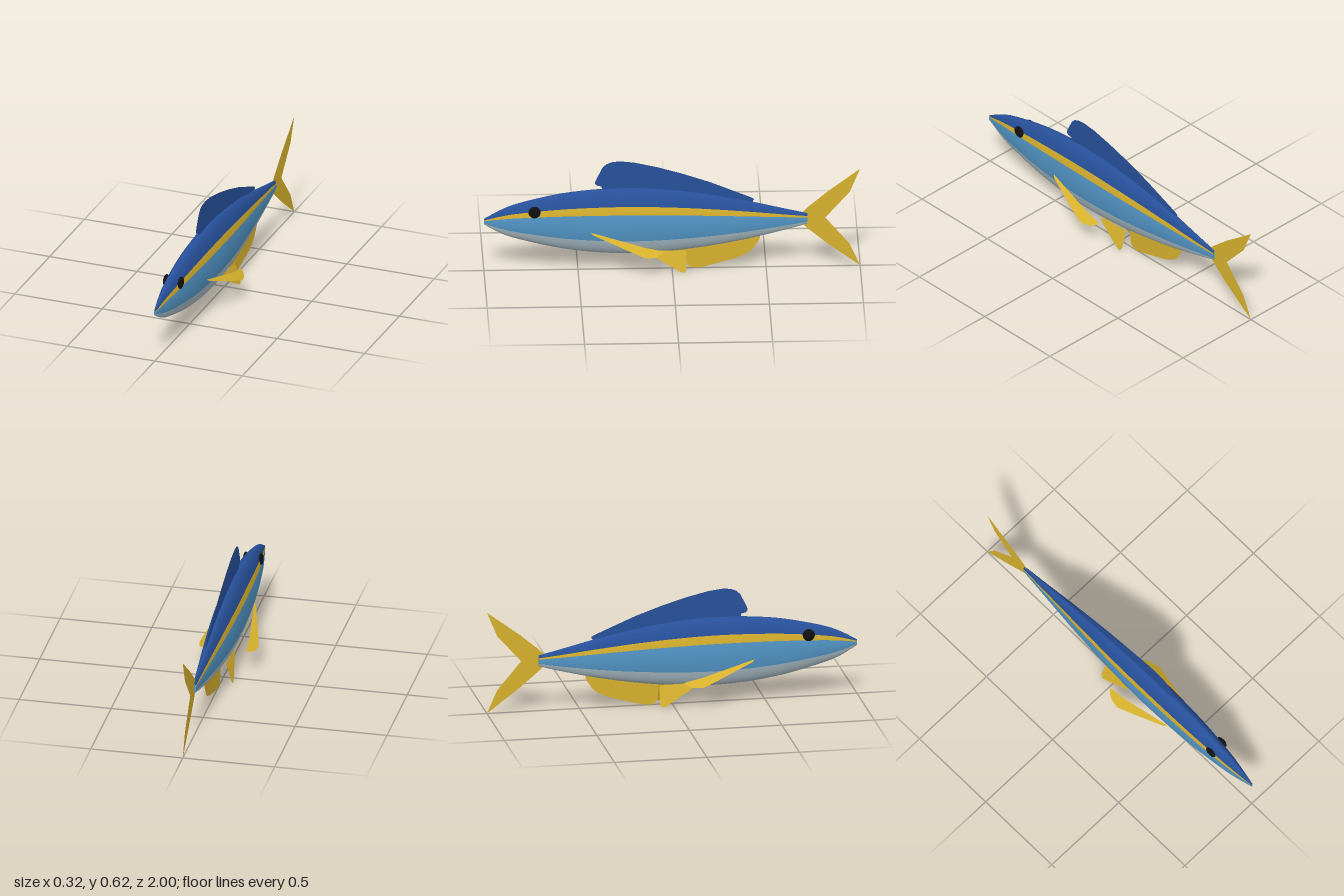
import * as THREE from 'three';

const mat = (name, color, side = THREE.FrontSide) => {
  const m = new THREE.MeshStandardMaterial({ color, side });
  m.name = name;
  return m;
};

// Body stations: z, top y, bottom y, half width
const STATIONS = [
  [1, 0.305, 0.272, 0.006], [0.9, 0.36, 0.216, 0.024], [0.8, 0.396, 0.182, 0.039],
  [0.6, 0.442, 0.133, 0.057], [0.4, 0.465, 0.105, 0.065], [0.2, 0.471, 0.096, 0.067],
  [0, 0.457, 0.108, 0.063], [-0.2, 0.428, 0.133, 0.051], [-0.4, 0.388, 0.17, 0.036],
  [-0.6, 0.34, 0.218, 0.019], [-0.72, 0.312, 0.252, 0.01],
];

// Colour bands round the body: end angle in degrees, steps, material index
const BANDS = [
  [-31, 8, 0], [17.5, 7, 1], [33, 3, 2], [147, 18, 3], [162.5, 3, 2], [211, 7, 1], [270, 8, 0],
];

function bodyGeometry() {
  const heights = new THREE.CatmullRomCurve3(
    STATIONS.map(([z, t, b]) => new THREE.Vector3(z, t, b)), false, 'catmullrom');
  const widths = new THREE.CatmullRomCurve3(
    STATIONS.map(([z, , , w]) => new THREE.Vector3(z, w, 0)), false, 'catmullrom');
  const angles = [];
  const owners = [];
  let start = -90;
  for (const [end, steps, owner] of BANDS) {
    for (let k = 0; k < steps; k++) {
      angles.push(THREE.MathUtils.degToRad(start + (end - start) * k / steps));
      owners.push(owner);
    }
    start = end;
  }
  const n = angles.length;
  const rings = 60;
  const positions = [];
  for (let i = 0; i <= rings; i++) {
    const h = heights.getPoint(i / rings);
    const w = widths.getPoint(i / rings).y;
    for (const a of angles) {
      positions.push(w * Math.cos(a), (h.y + h.z) / 2 + (h.y - h.z) / 2 * Math.sin(a), h.x);
    }
  }
  const geo = new THREE.BufferGeometry();
  const index = [];
  for (let m = 0; m < 4; m++) {
    const first = index.length;
    for (let j = 0; j < n; j++) {
      if (owners[j] !== m) continue;
      const k = (j + 1) % n;
      for (let i = 0; i < rings; i++) {
        const p = i * n;
        const q = p + n;
        index.push(p + j, q + j, p + k, p + k, q + j, q + k);
      }
    }
    geo.addGroup(first, index.length - first, m);
  }
  geo.setAttribute('position', new THREE.Float32BufferAttribute(positions, 3));
  geo.setIndex(index);
  geo.computeVertexNormals();
  return geo;
}

// Thin fin outlined in (z, y); xAt leans it sideways
function finGeometry(points, xAt = () => 0) {
  const geo = new THREE.ShapeGeometry(new THREE.Shape(points.map(([z, y]) => new THREE.Vector2(z, y))));
  const p = geo.attributes.position;
  for (let i = 0; i < p.count; i++) {
    const z = p.getX(i);
    const y = p.getY(i);
    p.setXYZ(i, xAt(z, y), y, z);
  }
  geo.computeVertexNormals();
  return geo;
}

export function createModel() {
  const model = new THREE.Group();
  model.name = 'fish';
  const belly = mat('pale belly', 0xa6bac2);
  const flank = mat('light blue flank', 0x5295c6);
  const stripe = mat('gold stripe', 0xd6b02c);
  const back = mat('deep blue back', 0x27509a, THREE.DoubleSide);
  const gold = mat('gold fin', 0xd6b02c, THREE.DoubleSide);
  const black = mat('black eye', 0x101010);

  const add = (name, geo, material) => {
    const mesh = new THREE.Mesh(geo, material);
    mesh.name = name;
    model.add(mesh);
    return mesh;
  };

  add('body', bodyGeometry(), [belly, flank, stripe, back]);

  // Caps closing the nose and the tail root
  const cap = (name, [z, top, bottom, w], turn) => {
    const mesh = add(name, new THREE.CircleGeometry(1, 32), flank);
    mesh.scale.set(w, (top - bottom) / 2, 1);
    mesh.position.set(0, (top + bottom) / 2, z);
    mesh.rotation.y = turn;
  };
  cap('noseCap', STATIONS[0], 0);
  cap('tailCap', STATIONS[STATIONS.length - 1], Math.PI);

  // Fins on the centre line
  add('dorsalFin', finGeometry([
    [0.37, 0.45], [0.375, 0.482], [0.4, 0.488], [0.41, 0.5], [0.405, 0.52], [0.37, 0.59],
    [0.35, 0.61], [0.32, 0.622], [0.28, 0.627], [0.2, 0.618], [0.08, 0.59], [-0.05, 0.552],
    [-0.2, 0.5], [-0.42, 0.408], [-0.437, 0.397], [-0.43, 0.385], [-0.4, 0.37], [0, 0.43],
  ]), back);
  add('tailFin', finGeometry([
    [-0.69, 0.29], [-0.695, 0.32], [-0.72, 0.345], [-0.82, 0.43], [-1, 0.565], [-0.945, 0.432],
    [-0.815, 0.285], [-0.945, 0.13], [-1, 0.005], [-0.82, 0.14], [-0.72, 0.225], [-0.695, 0.25],
  ]), gold);
  add('analFin', finGeometry([
    [-0.07, 0.14], [-0.078, 0.04], [-0.088, 0.015], [-0.11, 0.006], [-0.15, 0.006], [-0.34, 0.058],
    [-0.4, 0.085], [-0.43, 0.11], [-0.465, 0.165], [-0.468, 0.182], [-0.45, 0.19], [-0.38, 0.19],
  ]), gold);

  // Paired fins and eyes
  const pectoral = [
    [0.435, 0.247], [0.42, 0.235], [0.25, 0.17], [0.17, 0.14], [0.14, 0.13], [0.09, 0.13],
    [0.06, 0.138], [0.045, 0.148], [0.06, 0.153], [0.145, 0.17], [0.28, 0.206],
  ];
  const pelvic = [
    [0.1, 0.12], [0.108, 0.1], [0.09, 0.085], [-0.045, 0.008], [-0.065, 0.005], [-0.076, 0.025],
    [-0.072, 0.12],
  ];
  for (const [side, s] of [['left', 1], ['right', -1]]) {
    add(side + 'PectoralFin', finGeometry(pectoral,
      (z, y) => s * (0.08 - 1.32 * (y - 0.24) + 0.224 * (z - 0.43))), gold);
    add(side + 'PelvicFin', finGeometry(pelvic,
      (z, y) => s * (0.066 - 0.31 * (y - 0.005))), gold);
    const eye = add(side + 'Eye', new THREE.SphereGeometry(1, 20, 14), black);
    eye.scale.set(0.013, 0.033, 0.033);
    eye.position.set(s * 0.042, 0.355, 0.732);
  }
  return model;
}
